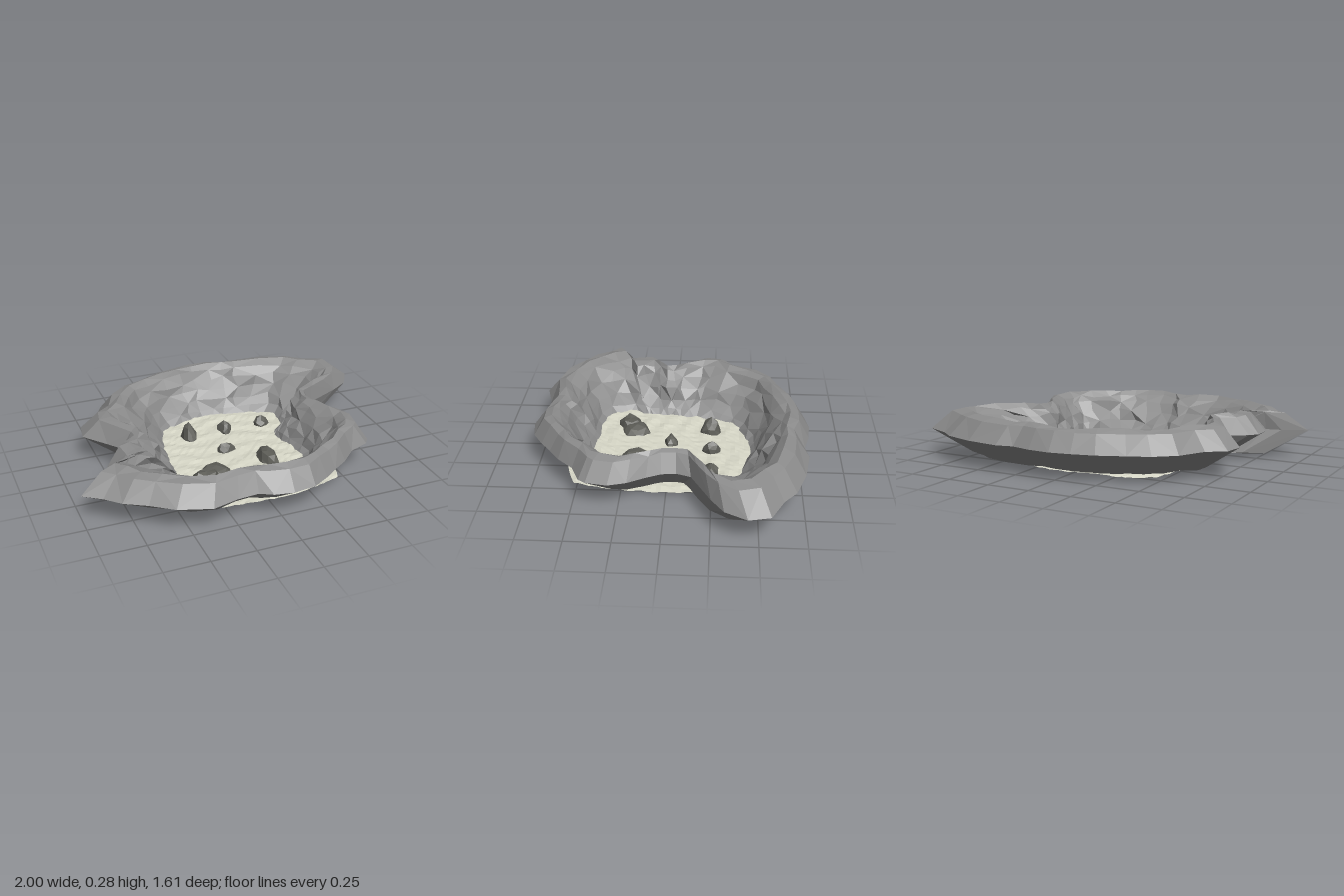
import * as THREE from 'three';

// Plan outlines as x, z pairs, running from the back towards +x
const OUTER = [
  0, -.81, .13, -.8, .25, -.77, .35, -.79, .55, -.76, .73, -.7, .82, -.63, .97, -.56, 1, -.44,
  .93, -.32, .82, -.25, .7, -.19, .6, -.14, .57, -.06, .58, .02, .62, .1, .68, .2, .71, .3,
  .69, .42, .66, .46, .54, .51, .45, .6, .36, .66, .28, .72, .18, .78, .05, .8, -.06, .78,
  -.13, .74, -.25, .75, -.4, .79, -.58, .73, -.7, .64, -.82, .57, -.9, .49, -1, .42, -.86, .36,
  -.77, .34, -.79, .28, -.79, .17, -.75, .12, -.66, .06, -.66, 0, -.72, -.08, -.83, -.22,
  -.81, -.34, -.71, -.41, -.63, -.56, -.52, -.65, -.4, -.7, -.25, -.76, -.12, -.79];
const FLOOR = [
  0, -.47, .1, -.47, .25, -.42, .42, -.4, .46, -.3, .44, -.18, .33, -.12, .33, -.02, .36, .08,
  .37, .2, .35, .35, .29, .44, .18, .45, .1, .47, 0, .43, -.15, .43, -.3, .44, -.4, .36,
  -.45, .26, -.38, .18, -.38, .05, -.36, -.1, -.33, -.25, -.3, -.36, -.18, -.44, -.08, -.44];

// Wall section: t across the wall (0 outer edge, 1 floor edge), height, roughness
const SECTION = [
  [0, .16, 0], [.2, .262, .008], [.34, .277, .01], [.45, .252, .014], [.56, .212, .02],
  [.68, .158, .022], [.8, .1, .022], [.91, .05, .016], [1.03, .005, .005]];

const toPoints = (a) => a.reduce((out, x, i) => (i % 2 ? out : [...out, new THREE.Vector2(x, a[i + 1])]), []);

// Repeatable noise from -1 to 1
function noise(a, b, c = 0) {
  const s = Math.sin(a * 127.1 + b * 311.7 + c * 74.7) * 43758.5453;
  return 2 * (s - Math.floor(s)) - 1;
}

function material(color) {
  return new THREE.MeshStandardMaterial({ color, flatShading: true });
}

// Where a ray from the centre through p meets the floor outline
function floorPoint(p, floor) {
  for (let i = 0; i < floor.length; i++) {
    const a = floor[i];
    const e = floor[(i + 1) % floor.length].clone().sub(a);
    const den = p.cross(e);
    const s = a.cross(e) / den;
    const u = a.cross(p) / den;
    if (s > 0 && u >= -1e-6 && u <= 1 + 1e-6) return p.clone().multiplyScalar(s);
  }
  return p.clone().multiplyScalar(.5);
}

function wallGeometry() {
  const outer = toPoints(OUTER);
  const floor = toPoints(FLOOR);
  const n = outer.length;
  const m = SECTION.length + 1;
  const raw = outer.map((p) => floorPoint(p, floor));
  // Average neighbours so the section lines do not cross
  const inner = raw.map((p, i) => p.clone().multiplyScalar(2)
    .add(raw[(i + 1) % n]).add(raw[(i + n - 1) % n]).multiplyScalar(.25));
  const pos = [];
  const index = [];
  for (let i = 0; i < n; i++) {
    // The foot is set in by a nearly constant distance
    const span = outer[i].distanceTo(inner[i]);
    const foot = [Math.min(.62, (.16 + .13 * span) / span), .019, .003];
    [...SECTION, foot].forEach(([t, y, rough], j) => {
      const p = outer[i].clone().lerp(inner[i], t);
      pos.push(p.x + rough * noise(i, j, 1), y + rough * .7 * noise(i, j, 2), p.y + rough * noise(i, j, 3));
      const k = (i + 1) % n;
      const l = (j + 1) % m;
      const [a, b, c, d] = [i * m + j, i * m + l, k * m + l, k * m + j];
      // Alternate the diagonals for a less streaky rock face
      if ((i + j) % 2) index.push(a, b, d, b, c, d);
      else index.push(a, b, c, a, c, d);
    });
  }
  const g = new THREE.BufferGeometry();
  g.setAttribute('position', new THREE.Float32BufferAttribute(pos, 3));
  g.setIndex(index);
  g.computeVertexNormals();
  return g;
}

// Rippled sheet with rounded corners and a slightly drooping edge
function sandGeometry() {
  const g = new THREE.PlaneGeometry(2, 2, 40, 44).rotateX(-Math.PI / 2);
  const p = g.attributes.position;
  for (let i = 0; i < p.count; i++) {
    const u = p.getX(i);
    const v = p.getZ(i);
    const edge = Math.max(Math.abs(u), Math.abs(v));
    const round = 1 - .14 * u * u * v * v;
    const ripple = .003 * Math.sin(v * 28 + 2 * Math.sin(u * 7)) + .0025 * noise(u, v);
    const droop = .005 * THREE.MathUtils.smoothstep(edge, .9, 1);
    p.setXYZ(i, u * .53 * round, .02 + ripple - droop, v * .6 * round);
  }
  g.computeVertexNormals();
  return g;
}

// Faceted boulder with a flat base
function boulderGeometry(rx, h, rz, seed) {
  const g = new THREE.IcosahedronGeometry(1, 1);
  const p = g.attributes.position;
  const v = new THREE.Vector3();
  for (let i = 0; i < p.count; i++) {
    v.fromBufferAttribute(p, i);
    const key = v.toArray().map((c) => Math.round(c * 50));
    v.multiplyScalar(1 + .17 * noise(key[0] + seed, key[1], key[2]));
    p.setXYZ(i, v.x * rx, Math.max(0, v.y * h), v.z * rz);
  }
  g.computeVertexNormals();
  return g;
}

export function createModel() {
  const model = new THREE.Group();
  const add = (name, geometry, mat) => {
    const mesh = new THREE.Mesh(geometry, mat);
    mesh.name = name;
    model.add(mesh);
    return mesh;
  };

  add('rockWall', wallGeometry(), material(0x8c8c8c));

  const sand = material(0xd8d8c8);
  sand.side = THREE.DoubleSide;
  add('sandFloor', sandGeometry(), sand);

  // Boulders: x, z, half width, height, half depth, turn
  const dark = material(0x5e5e58);
  [
    [-.17, -.24, .052, .105, .068, 0],
    [.065, -.25, .042, .085, .06, 0],
    [.31, -.24, .053, .075, .048, .2],
    [-.02, 0, .055, .07, .045, 0],
    [.17, .18, .066, .075, .105, 0],
    [-.165, .215, .1, .055, .085, .3],
    [-.24, .26, .1, .07, .072, .2],
  ].forEach(([x, z, rx, h, rz, turn], i) => {
    const boulder = add(`boulder${i + 1}`, boulderGeometry(rx, h, rz, i * 7 + 3), dark);
    boulder.position.set(x, 0, z);
    boulder.rotation.y = turn;
  });

  return model;
}
